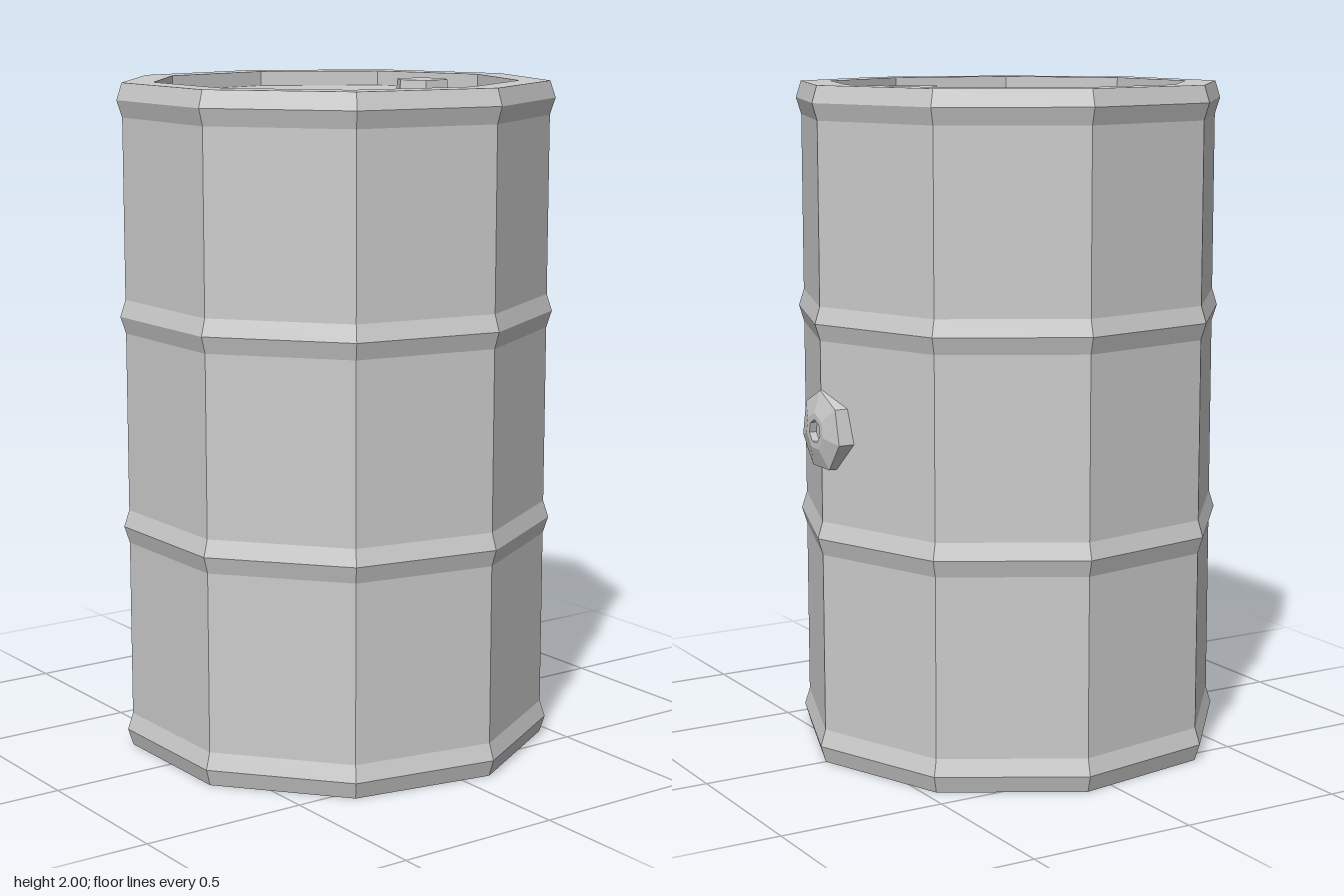
import * as THREE from 'three';

const material = new THREE.MeshStandardMaterial({ color: 0xcccccc, flatShading: true });

function add(group, name, geometry) {
  const mesh = new THREE.Mesh(geometry, material);
  mesh.name = name;
  group.add(mesh);
  return mesh;
}

function lathe(points, sides, start) {
  return new THREE.LatheGeometry(points.map(([r, y]) => new THREE.Vector2(r, y)), sides, start);
}

export function createModel() {
  const group = new THREE.Group();
  group.name = 'barrel';

  const body = 0.636, ridge = 0.652, inner = 0.543;
  const centreZ = 0.022;

  // Nine-sided drum with four raised hoops and a recessed lid and base
  const profile = [[0, 0.045], [inner, 0.045], [inner, 0]];
  for (const y of [0.05, 0.684, 1.318, 1.95]) {
    profile.push([body, y - 0.05], [ridge, y], [body, y + 0.05]);
  }
  profile.push([inner, 2], [inner, 1.955], [0, 1.962]);
  add(group, 'drum', lathe(profile, 9, Math.PI)).position.z = centreZ;

  // Hexagonal plug on the lid
  add(group, 'lidPlug', new THREE.CylinderGeometry(0.082, 0.086, 0.05, 6))
    .position.set(0, 1.967, -0.305);

  // Seven-sided bung with a small socket on the back corner
  const bung = add(group, 'sideBung', lathe([
    [0.12, 0.55], [0.12, 0.618], [0.055, 0.638],
    [0.035, 0.638], [0.035, 0.616], [0, 0.616],
  ], 7, 0));
  bung.rotation.x = -Math.PI / 2;
  bung.position.set(-0.004, 1.005, 0);

  return group;
}
